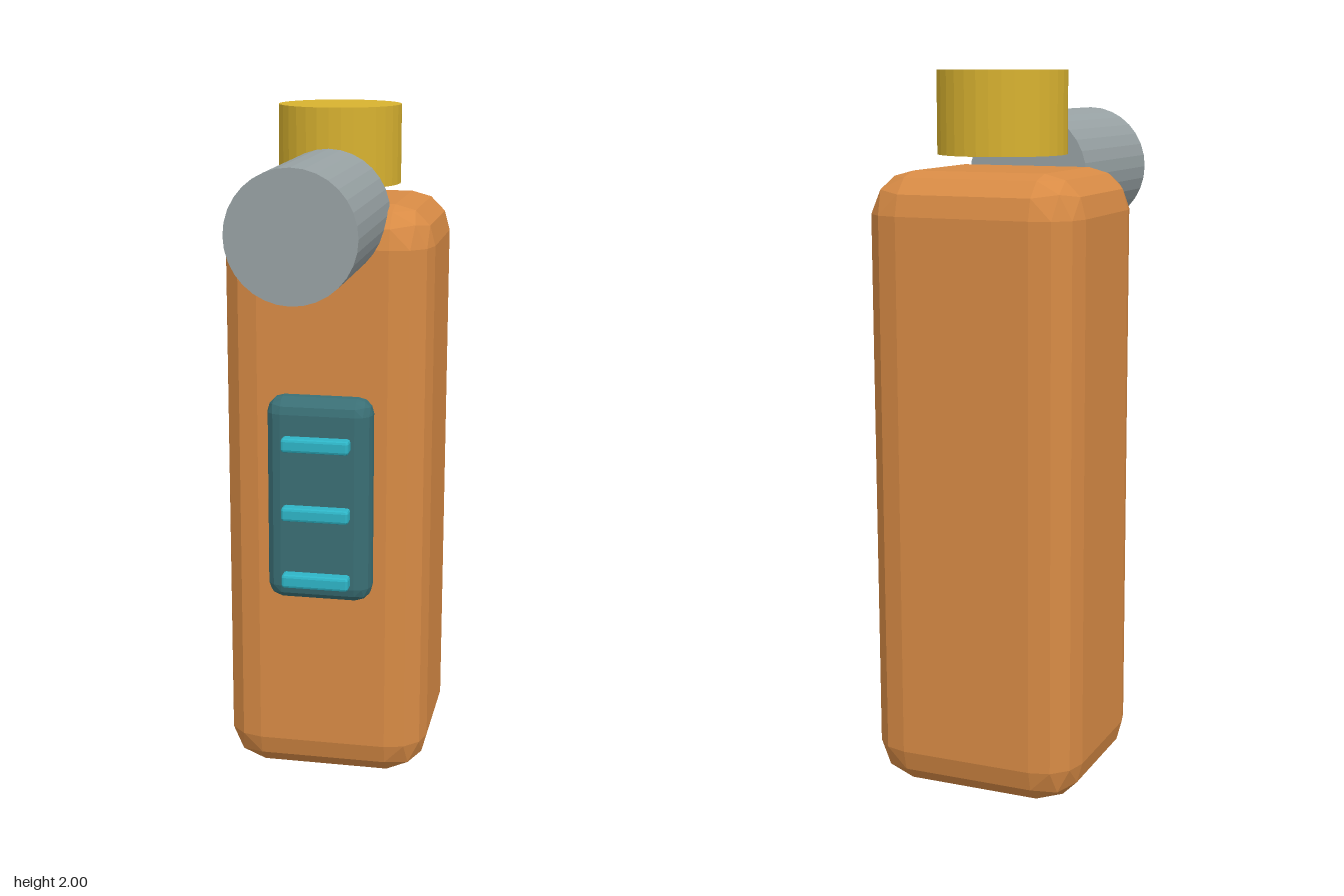
import * as THREE from 'three';
import { ConvexGeometry } from 'three/addons/geometries/ConvexGeometry.js';

const material = (name, color) => {
  const m = new THREE.MeshStandardMaterial({ color, flatShading: true });
  m.name = name;
  return m;
};

// Box with faceted rounded edges: the hull of eight sphere corners with n steps per quarter turn
function bevelBox(w, h, d, r, n) {
  const points = [];
  const s = (i) => Math.sin((i / n) * Math.PI / 2);
  for (const sx of [-1, 1]) for (const sy of [-1, 1]) for (const sz of [-1, 1]) {
    const sign = new THREE.Vector3(sx, sy, sz);
    const centre = new THREE.Vector3(w / 2 - r, h / 2 - r, d / 2 - r).multiply(sign);
    for (let i = 0; i <= n; i++) {
      for (let j = 0; j <= n - i; j++) {
        const dir = new THREE.Vector3(s(i), s(j), s(n - i - j)).normalize().multiply(sign);
        points.push(dir.multiplyScalar(r).add(centre));
      }
    }
  }
  return new ConvexGeometry(points);
}

export function createModel() {
  const model = new THREE.Group();
  const orange = material('orange', 0xd88b45);
  const yellow = material('yellow', 0xd8b230);
  const grey = material('grey', 0x98a2a4);
  const teal = material('darkTeal', 0x3a6f75);
  const cyan = material('cyan', 0x2eb5c7);

  const add = (name, geometry, mat, x, y, z) => {
    const mesh = new THREE.Mesh(geometry, mat);
    mesh.name = name;
    mesh.position.set(x, y, z);
    model.add(mesh);
    return mesh;
  };

  // Tall body
  add('body', bevelBox(0.61, 1.735, 0.56, 0.115, 3), orange, 0, 0.8675, -0.205);

  // Cap floating just above the body
  add('cap', new THREE.CylinderGeometry(0.178, 0.178, 0.225, 32), yellow, 0, 1.8875, -0.206);

  // Forward nozzle
  const nozzle = new THREE.CylinderGeometry(0.177, 0.177, 0.513, 32).rotateX(Math.PI / 2);
  add('nozzle', nozzle, grey, 0, 1.71, 0.2285);

  // Front panel and its three bars
  add('panel', bevelBox(0.306, 0.606, 0.14, 0.045, 3), teal, 0, 0.897, 0.076);
  for (const y of [0.667, 0.87, 1.075]) {
    add('bar', bevelBox(0.196, 0.04, 0.045, 0.008, 2), cyan, 0, y, 0.166);
  }
  return model;
}
